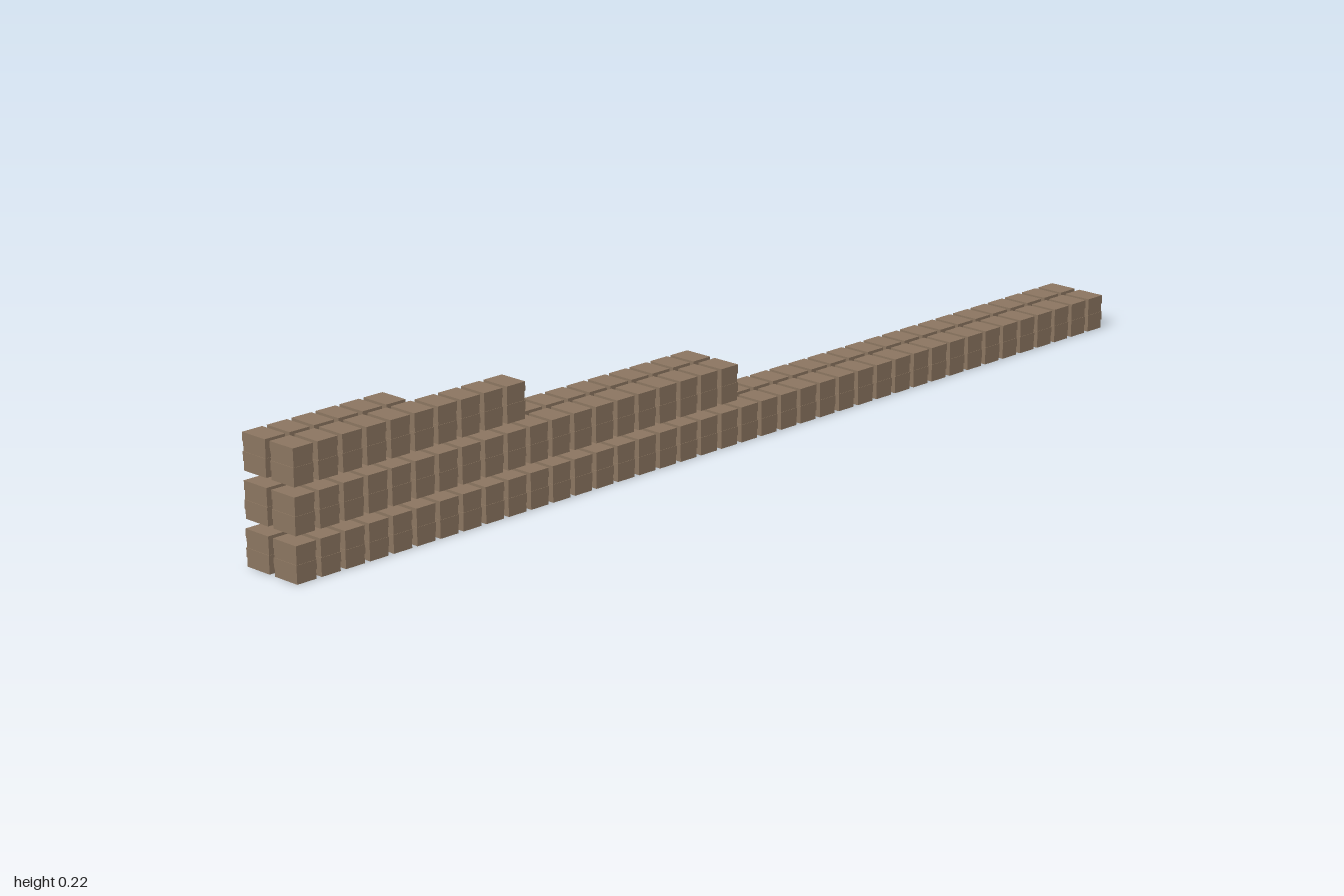
import * as THREE from 'three';
import { mergeGeometries } from 'three/addons/utils/BufferGeometryUtils.js';

const SLAB = 0.016, PITCH_Z = 0.0502, DEPTH = 0.041, LAYER = 0.08;

// One pile of four slabs, alternately narrow and wide
function pileGeometry() {
  const slabs = [];
  for (let i = 0; i < 4; i++) {
    const wide = i % 2 === 1;
    const g = new THREE.BoxGeometry(wide ? 0.0555 : 0.054, SLAB, wide ? DEPTH : DEPTH - 0.002);
    g.translate(0, SLAB * (i + 0.5), 0);
    slabs.push(g);
  }
  return mergeGeometries(slabs);
}

export function createModel() {
  const model = new THREE.Group();
  model.name = 'stackedSlabs';
  const brown = new THREE.MeshStandardMaterial({ color: 0x8b7560 });
  brown.name = 'brown';
  const pile = pileGeometry();

  // Piles per row in each layer, counted back from the front end
  const layers = [
    { name: 'bottom', right: 40, left: 40 },
    { name: 'middle', right: 20, left: 20 },
    { name: 'top', right: 6, left: 10 },
  ];
  layers.forEach((layer, level) => {
    for (const [side, x] of [['right', -0.0335], ['left', 0.0335]]) {
      const row = new THREE.Group();
      row.name = `${layer.name}Row_${side}`;
      for (let i = 0; i < layer[side]; i++) {
        const mesh = new THREE.Mesh(pile, brown);
        mesh.name = 'slabPile';
        mesh.position.set(x, level * LAYER, 1 - DEPTH / 2 - i * PITCH_Z);
        row.add(mesh);
      }
      model.add(row);
    }
  });
  return model;
}
